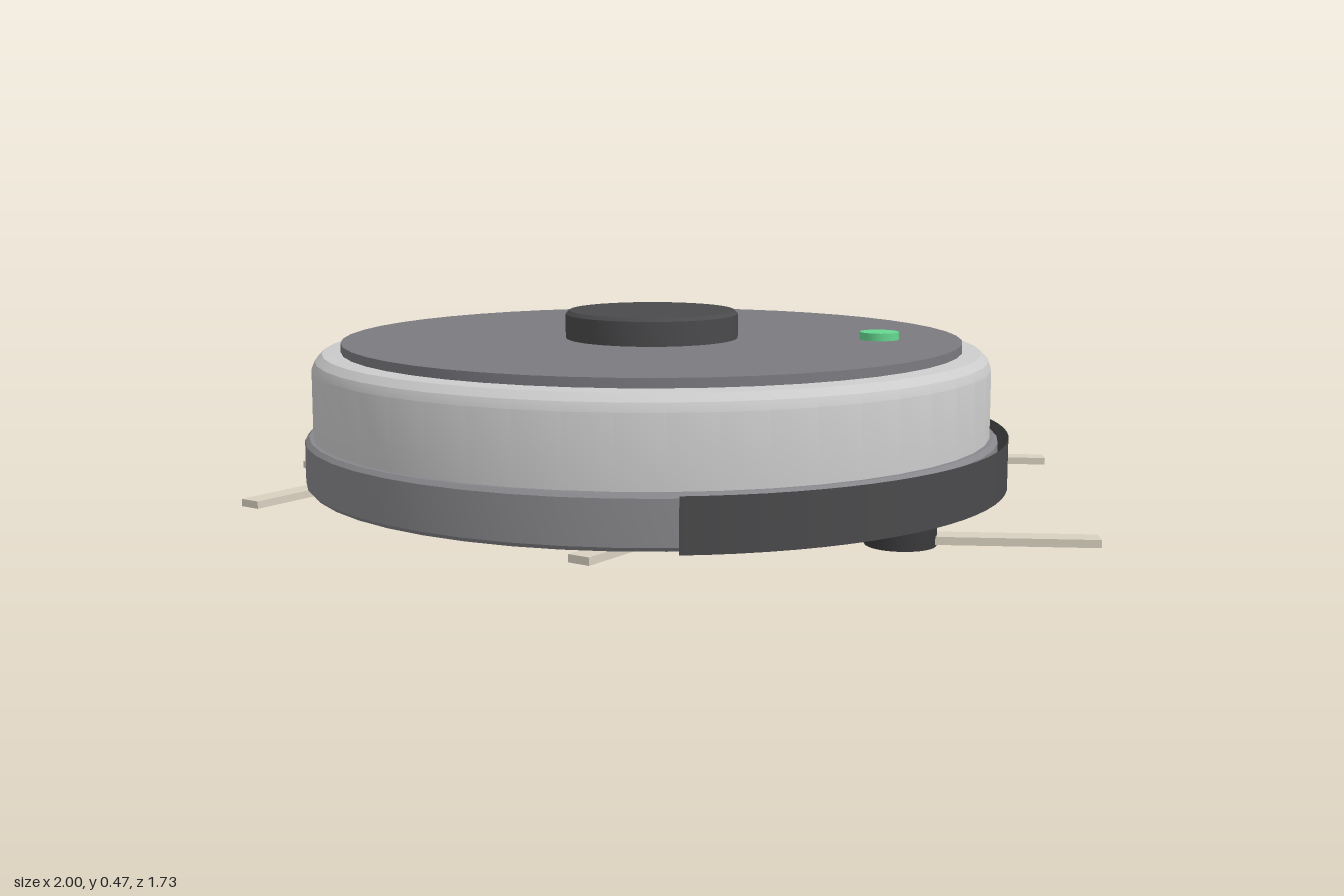
import * as THREE from 'three';
import { toCreasedNormals } from 'three/addons/utils/BufferGeometryUtils.js';

const CX = -0.03; // axis of the round body

const paint = (color, side = THREE.FrontSide) => new THREE.MeshStandardMaterial({ color, side });

function add(group, name, geometry, material, x, y, z) {
  const mesh = new THREE.Mesh(geometry, material);
  mesh.name = name;
  mesh.position.set(x, y, z);
  group.add(mesh);
  return mesh;
}

// Solid of revolution with crisp profile corners
function turned(profile, segments = 48) {
  const points = profile.map(([r, y]) => new THREE.Vector2(r, y));
  return toCreasedNormals(new THREE.LatheGeometry(points, segments), 0.4);
}

export function createModel() {
  const model = new THREE.Group();
  model.name = 'robotVacuum';
  const dark = paint(0x4a4a4c);
  const charcoal = paint(0x3a3a3c);
  const bristle = paint(0xd8d0c0);

  // Base ring and underside
  add(model, 'base', turned([
    [0.82, 0.047], [0.84, 0.05], [0.85, 0.06], [0.85, 0.162], [0.84, 0.172], [0.8, 0.172],
  ]), paint(0x88888c), CX, 0, 0);
  add(model, 'underside', turned([[0, 0.047], [0.82, 0.047]]), dark, CX, 0, 0);

  // Upper shell with a bevelled shoulder
  add(model, 'shell', turned([
    [0.83, 0.165], [0.83, 0.335], [0.822, 0.355], [0.805, 0.372], [0.75, 0.376],
  ]), paint(0xcccccc), CX, 0, 0);

  // Lid, sensor turret and button
  add(model, 'lid', turned([[0.76, 0.37], [0.76, 0.397], [0, 0.397]]), paint(0x7a7a80), CX, 0, 0);
  add(model, 'turret', turned([
    [0.213, 0.39], [0.213, 0.456], [0.204, 0.465], [0, 0.465],
  ], 40), dark, CX, 0, 0);
  add(model, 'button', new THREE.CylinderGeometry(0.048, 0.048, 0.025, 24), paint(0x66d890), 0.53, 0.403, 0);

  // Thin bumper wrapped around the +x side
  add(model, 'bumper', new THREE.CylinderGeometry(0.875, 0.875, 0.122, 40, 1, true, 0.05 * Math.PI, 0.9 * Math.PI),
    paint(0x4a4a4c, THREE.DoubleSide), CX, 0.111, 0);

  // Brush hubs and bristle bars, mirrored in z
  const bars = [[0.787, 0.5, 0], [-0.005, 0.587, 120], [-0.87, 0.0875, 120]];
  for (const side of [1, -1]) {
    add(model, 'brushHub', new THREE.CylinderGeometry(0.08, 0.08, 0.05, 24), charcoal, 0.567, 0.025, side * 0.5);
    for (const [x, z, angle] of bars) {
      const bar = add(model, 'brushBar', new THREE.BoxGeometry(0.425, 0.018, 0.055), bristle, x, 0.014, side * z);
      bar.rotation.y = -side * THREE.MathUtils.degToRad(angle);
    }
  }
  return model;
}
